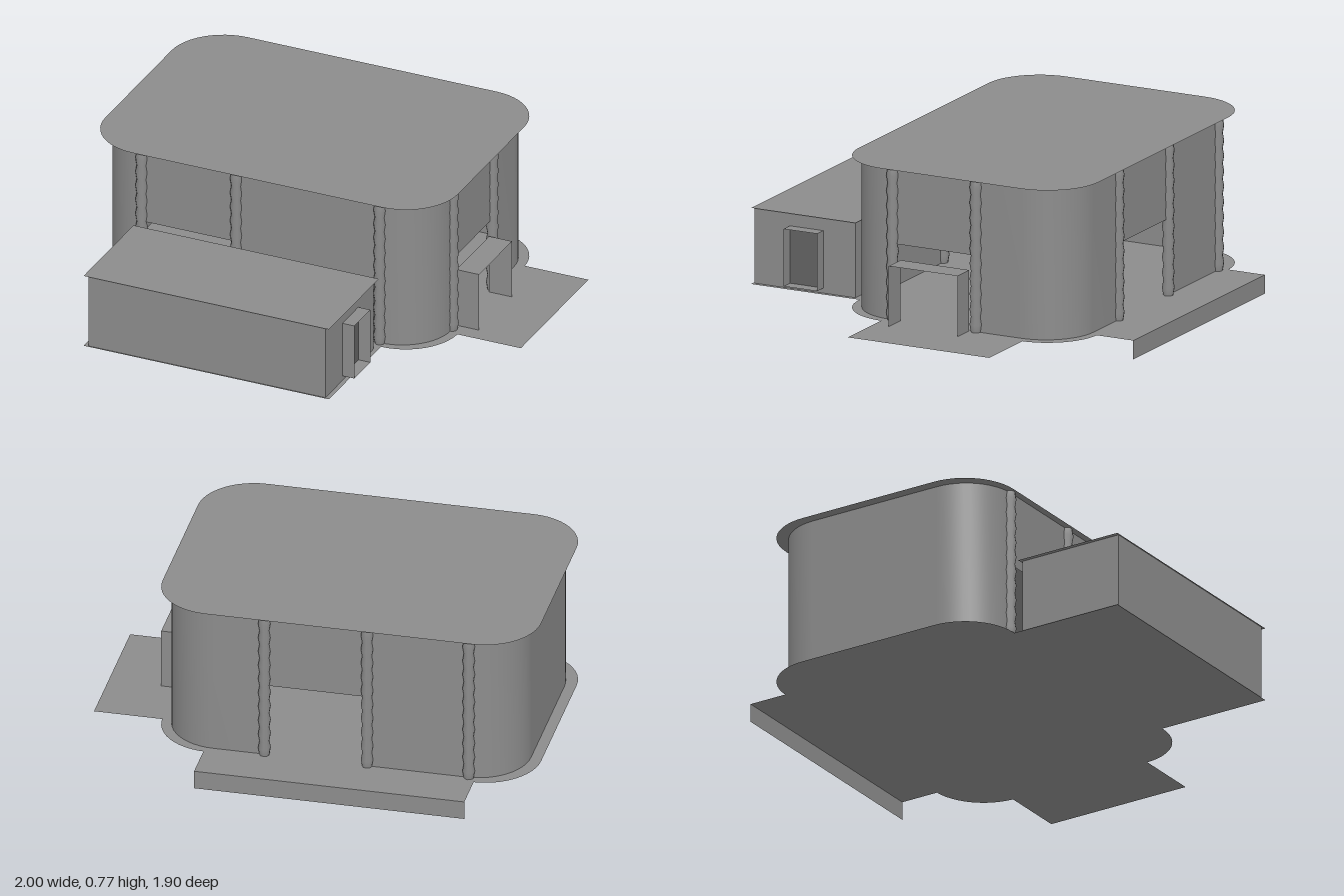
import * as THREE from 'three';

const FLOOR = 0.085, TOP = 0.775, LINTEL = 0.43;

export function createModel() {
  const g = new THREE.Group();
  const grey = new THREE.MeshStandardMaterial({ color: 0x8c8c8c, side: THREE.DoubleSide });
  grey.name = 'plain grey';
  const dark = new THREE.MeshStandardMaterial({ color: 0x626262, side: THREE.DoubleSide });
  dark.name = 'dark grey';

  const add = (name, geo, mat = grey) => {
    const m = new THREE.Mesh(geo, mat);
    m.name = name;
    g.add(m);
    return m;
  };

  // Upright sheet following a path of [x, z] points
  const wall = (name, path, y0, y1, mat) => {
    const pos = [], idx = [];
    path.forEach(([x, z], i) => {
      pos.push(x, y0, z, x, y1, z);
      if (i) {
        const a = 2 * i - 2;
        idx.push(a, a + 2, a + 1, a + 1, a + 2, a + 3);
      }
    });
    const geo = new THREE.BufferGeometry();
    geo.setAttribute('position', new THREE.Float32BufferAttribute(pos, 3));
    geo.setIndex(idx);
    geo.computeVertexNormals();
    return add(name, geo, mat);
  };

  // Level sheet between two x and two z values
  const sheet = (name, x0, x1, z0, z1, y) => {
    const geo = new THREE.PlaneGeometry(x1 - x0, z1 - z0).rotateX(-Math.PI / 2);
    return add(name, geo.translate((x0 + x1) / 2, y, (z0 + z1) / 2));
  };

  // Quarter turn in plan, angle measured from +x towards +z
  const arc = (cx, cz, r, from, to) => Array.from({ length: 13 }, (_, i) => {
    const a = THREE.MathUtils.degToRad(from + (to - from) * i / 12);
    return [cx + r * Math.cos(a), cz + r * Math.sin(a)];
  });

  // Rounded floor and roof plates
  const x0 = -1, x1 = 0.695, z0 = -0.775, z1 = 0.41, r = 0.25;
  const outline = [
    ...arc(x1 - r, z1 - r, r, 0, 90), ...arc(x0 + r, z1 - r, r, 90, 180),
    ...arc(x0 + r, z0 + r, r, 180, 270), ...arc(x1 - r, z0 + r, r, 270, 360),
  ];
  const plate = new THREE.ShapeGeometry(
    new THREE.Shape(outline.map(([x, z]) => new THREE.Vector2(x, -z)))).rotateX(-Math.PI / 2);
  add('mainFloor', plate.clone().translate(0, FLOOR, 0));
  add('mainRoof', plate.clone().translate(0, TOP, 0));

  // Main walls, with rounded corners between the bays
  const L = -0.95, R = 0.655, B = -0.738, F = 0.378, c = 0.235;
  wall('frontRightWall', [[-0.27, F], ...arc(R - c, F - c, c, 90, 0)], FLOOR, TOP);
  wall('backRightWall', [[R, -0.28], ...arc(R - c, B + c, c, 0, -90), [0.19, B]], FLOOR, TOP);
  wall('leftWall', [[-0.27, B], ...arc(L + c, B + c, c, 270, 180),
    ...arc(L + c, F - c, c, 180, 90)], FLOOR, TOP);

  // Panels above the open bays
  wall('frontLintel', [[L + c, F], [-0.27, F]], LINTEL, TOP);
  wall('rightLintel', [[R, F - c], [R, -0.28]], LINTEL, TOP);
  wall('backLintel', [[0.19, B], [-0.27, B]], LINTEL, TOP);

  // Beaded columns at the ends of the bays
  const profile = [];
  for (let i = 0; i <= 20; i++) {
    profile.push(new THREE.Vector2(i % 2 ? 0.028 : 0.022, FLOOR + (TOP - FLOOR) * i / 20));
  }
  const column = new THREE.LatheGeometry(profile, 10);
  [[-0.725, F], [-0.27, F], [0.42, F], [R, 0.13], [R, -0.283],
    [0.19, B], [-0.27, B], [-0.725, B]].forEach(([x, z]) => {
    add('column', column).position.set(x, 0, z);
  });

  // Side terrace with a porch open at both ends
  sheet('terrace', x1, 1, -0.535, 0.165, FLOOR);
  for (const z of [0.09, -0.25]) wall('porchSide', [[R, z], [0.765, z]], FLOOR, 0.36);
  sheet('porchRoof', R, 0.765, -0.25, 0.09, 0.36);

  // Back step
  sheet('backStep', -0.755, 0.455, -0.955, z0, FLOOR);
  wall('backStepFace', [[0.455, -0.955], [-0.755, -0.955]], 0, FLOOR);

  // Front wing
  const wl = -0.72, wr = 0.42, wb = 0.44, wf = 0.94;
  sheet('wingFloor', -0.74, 0.44, 0.41, 0.947, FLOOR);
  sheet('wingRoof', -0.74, 0.44, 0.43, 0.947, LINTEL);
  wall('wingFront', [[wl, wf], [wr, wf]], FLOOR, LINTEL);
  wall('wingLeft', [[wl, wb], [wl, wf]], FLOOR, LINTEL);
  wall('wingBack', [[wr, wb], [-0.27, wb]], FLOOR, LINTEL);

  // Wing end wall around the doorway
  const d0 = 0.6, d1 = 0.765, s0 = 0.108, s1 = 0.368;
  wall('wingEnd', [[wr, wf], [wr, d1]], FLOOR, LINTEL);
  wall('wingEnd', [[wr, d0], [wr, wb]], FLOOR, LINTEL);
  wall('wingEnd', [[wr, d1], [wr, d0]], FLOOR, s0);
  wall('wingEnd', [[wr, d1], [wr, d0]], s1, LINTEL);

  // Projecting door frame and dark door
  for (const z of [d0, d1]) wall('doorFrameSide', [[wr, z], [0.478, z]], s0, s1);
  for (const y of [s0, s1]) sheet('doorFrameCap', wr, 0.478, d0, d1, y);
  wall('wingDoor', [[wr, d1], [wr, d0]], s0, s1, dark);

  // Small link between wing and main wall
  add('link', new THREE.BoxGeometry(0.31, 0.145, 0.062).translate(0.135, 0.272, 0.409));

  return g;
}
